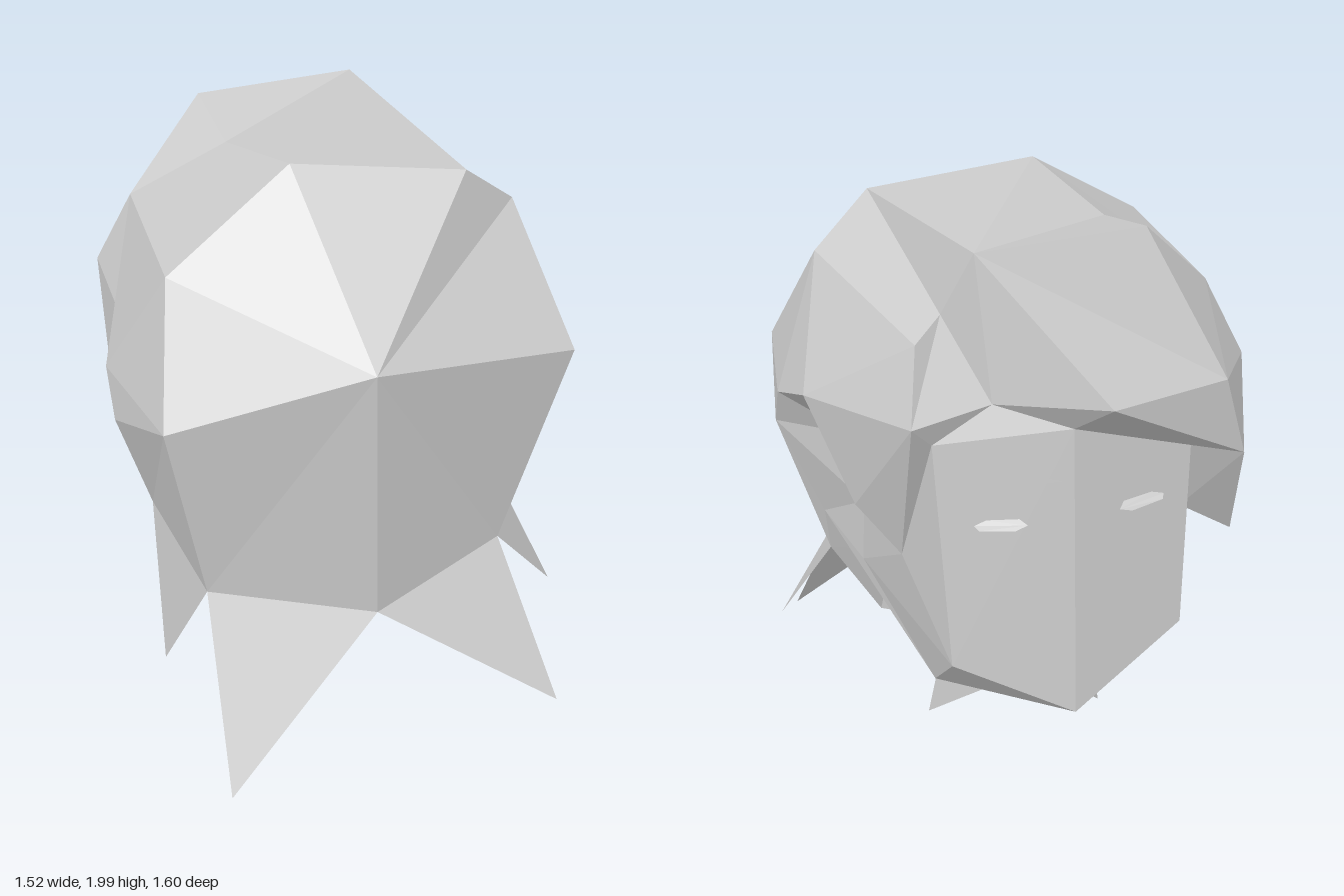
import * as THREE from 'three';

const grey = new THREE.MeshStandardMaterial({ color: 0xcccccc, flatShading: true, side: THREE.DoubleSide });
grey.name = 'plain grey';

// Named corners shared by the hair and the face
const P = {
  // back and crown of the hair
  crown: [-0.17, 2.0, 0.18], crownL: [0.38, 1.93, 0.24], back: [-0.05, 1.51, 0.66],
  topL: [0.58, 1.77, 0.16], topR: [-0.59, 1.74, 0.29],
  backL: [0.69, 1.36, 0.48], backR: [-0.67, 1.33, 0.51],
  napeL: [0.49, 0.61, 0.44], napeR: [-0.55, 0.63, 0.44], nape: [0, 0.51, 0.58],
  earTopL: [0.75, 1.33, 0.07], earTopR: [-0.76, 1.33, 0.07],
  earBackL: [0.75, 1.18, 0.16], earBackR: [-0.76, 1.18, 0.16],
  lobeL: [0.6, 0.67, 0.11], lobeR: [-0.65, 0.78, 0.1],
  // fringe and side locks
  quiffL: [0.26, 1.98, -0.54], quiffR: [-0.29, 1.98, -0.49], dent: [-0.27, 1.92, -0.21],
  partR: [-0.57, 1.72, -0.34], fringe: [-0.08, 1.55, -0.8], fringeIn: [0.23, 1.53, -0.61],
  partL: [0.34, 1.77, -0.46], partL2: [0.44, 1.72, -0.54],
  browL: [0.49, 1.51, -0.66], browR: [-0.51, 1.52, -0.66], lowR: [-0.6, 1.24, -0.64],
  sideL: [0.71, 1.43, -0.18], sideR: [-0.69, 1.47, -0.4],
  lockL: [0.6, 1.11, -0.35], tipR: [-0.67, 0.84, -0.46],
  earL: [0.55, 1.24, -0.13], earR: [-0.63, 1.23, -0.3], cheekUpL: [0.53, 1.0, -0.16],
  // face corners on the centre line
  ridge: [0, 1.45, -0.69], chin: [0, 0.45, -0.77], throat: [0, 0.36, -0.4],
};
// Face corners that come in mirrored pairs
const pairs = {
  cheekTop: [0.42, 1.43, -0.62], cheek: [0.39, 0.67, -0.69], jaw: [0.4, 0.5, -0.52],
  jawBack: [0.62, 0.85, 0.07], cheekLow: [0.54, 0.77, -0.15], temple: [0.48, 0.96, -0.45],
  neckBack: [0.37, 0.6, 0.12], neckFront: [0.26, 0.49, -0.2], neckTip: [0.41, 0.31, 0.19],
};
for (const [name, [x, y, z]] of Object.entries(pairs)) {
  P[name + 'L'] = [x, y, z];
  P[name + 'R'] = [-x, y, z];
}

// Faces are lists of corner names or points; each is fanned and turned outward
function facets(name, faces) {
  const pos = [], centre = new THREE.Vector3(0, 1.05, 0);
  for (const face of faces) {
    const pts = face.map(k => new THREE.Vector3(...(typeof k === 'string' ? P[k] : k)));
    for (let i = 1; i < pts.length - 1; i++) {
      const t = [pts[0], pts[i], pts[i + 1]];
      const n = t[1].clone().sub(t[0]).cross(t[2].clone().sub(t[0]));
      const mid = t[0].clone().add(t[1]).add(t[2]).divideScalar(3).sub(centre);
      if (n.dot(mid) < 0) t.reverse();
      t.forEach(p => pos.push(p.x, p.y, p.z));
    }
  }
  const g = new THREE.BufferGeometry();
  g.setAttribute('position', new THREE.Float32BufferAttribute(pos, 3));
  g.computeVertexNormals();
  const m = new THREE.Mesh(g, grey);
  m.name = name;
  return m;
}
const words = list => list.map(s => s.split(' '));
// Repeats faces for both sides; a trailing * marks a paired corner
const bothSides = list => ['L', 'R'].flatMap(s => words(list.map(f => f.replaceAll('*', s))));

export function createModel() {
  const model = new THREE.Group();
  model.name = 'head';

  // Back shell of the hair
  model.add(facets('backHair', [
    ...words([
      'crown crownL back', 'crown back topR', 'topR back backR', 'crownL topL back', 'topL backL back',
      'back backL napeL', 'back napeL nape', 'back nape napeR', 'back napeR backR',
      'topL earTopL sideL', 'earTopL sideL earL', 'topR partR earTopR', 'partR earR earTopR',
    ]),
    ...bothSides(['top* earTop* back*', 'back* earTop* earBack*', 'back* earBack* lobe* nape*']),
  ]));

  // Crown, swept quiff and parting
  model.add(facets('quiff', words([
    'crown crownL quiffL', 'crown quiffL dent', 'quiffL quiffR dent', 'crown dent partR',
    'crown partR topR', 'dent quiffR partR', 'quiffL quiffR browR', 'quiffL browR fringe',
    'quiffR partR browR', 'partR sideR browR', 'quiffL fringe fringeIn',
    'crownL quiffL partL', 'quiffL partL fringeIn',
  ])));

  // Left lock with its parting wall
  model.add(facets('leftLock', words([
    'crownL partL topL', 'topL partL partL2', 'topL partL2 sideL', 'partL2 browL sideL',
    'partL partL2 browL', 'partL browL fringeIn', 'sideL browL lockL', 'sideL earL lockL',
    'lockL earL cheekUpL', 'lockL cheekUpL templeL', 'browL lockL templeL',
    'browL cheekTopL templeL', 'browL cheekTopL fringeIn',
  ])));

  // Right lock, longer and standing off the cheek
  model.add(facets('rightLock', words([
    'browR fringe lowR', 'browR lowR sideR', 'lowR tipR sideR', 'partR sideR earR',
    'sideR earR tipR', 'lowR tipR templeR', 'lowR cheekTopR templeR',
  ])));

  // Underside of the fringe
  model.add(facets('fringeUnderside', words([
    'fringe fringeIn ridge', 'fringeIn ridge cheekTopL', 'fringe lowR ridge', 'lowR ridge cheekTopR',
  ])));

  // Face, cheeks, jaw and throat
  model.add(facets('face', [
    ...bothSides([
      'ridge chin cheek*', 'ridge cheek* cheekTop*', 'chin cheek* jaw*', 'cheek* jaw* cheekLow*',
      'cheek* cheekLow* temple*', 'cheek* temple* cheekTop*', 'jaw* jawBack* cheekLow*',
      'jawBack* lobe* earBack*', 'ear* earBack* earTop*', 'jawBack* neckBack* lobe*',
      'chin jaw* throat', 'jaw* neckFront* throat', 'jaw* jawBack* neckBack* neckFront*',
    ]),
    ...words([
      'cheekLowL cheekUpL templeL', 'cheekLowL jawBackL cheekUpL', 'cheekUpL jawBackL earBackL earL',
      'cheekLowR jawBackR earR', 'cheekLowR earR templeR', 'earR jawBackR earBackR',
      'throat neckFrontL neckFrontR',
    ]),
  ]));

  // Pointed strands hanging below: two base corners and a tip
  model.add(facets('hangingStrands', [
    ['napeR', 'nape', [-0.58, 0.03, 0.8]], ['napeL', 'nape', [0.64, 0.04, 0.72]],
    ['napeL', 'lobeL', [0.76, 0.27, 0.34]], ['napeR', 'lobeR', [-0.67, 0.18, 0.23]],
    ['neckFrontL', 'throat', [0.33, 0.07, -0.16]], ['neckFrontR', 'throat', [-0.31, 0.01, -0.22]],
    ...bothSides(['neckBack* neckFront* neckTip*', 'neckBack* lobe* neckTip*']),
  ]));

  // Narrow jutting eyes and tapering eyebrows; the third value lifts a point off the face
  for (const s of [1, -1]) {
    const onFace = (x, y, lift) => [s * x, y, -0.69 - 0.085 * (1.45 - y) + 0.17 * x - lift];
    const side = s > 0 ? 'left' : 'right';
    model.add(facets(side + 'Eye', [[
      onFace(0.15, 1.155, 0.02), onFace(0.19, 1.145, 0.03), onFace(0.3, 1.155, 0.03),
      onFace(0.31, 1.165, 0.015), onFace(0.27, 1.175, 0.005), onFace(0.17, 1.17, 0.005),
    ]]));
    model.add(facets(side + 'Eyebrow', [[
      onFace(0.04, 1.29, 0.015), onFace(0.34, 1.29, 0.015), onFace(0.39, 1.38, 0.015),
    ]]));
  }
  return model;
}
